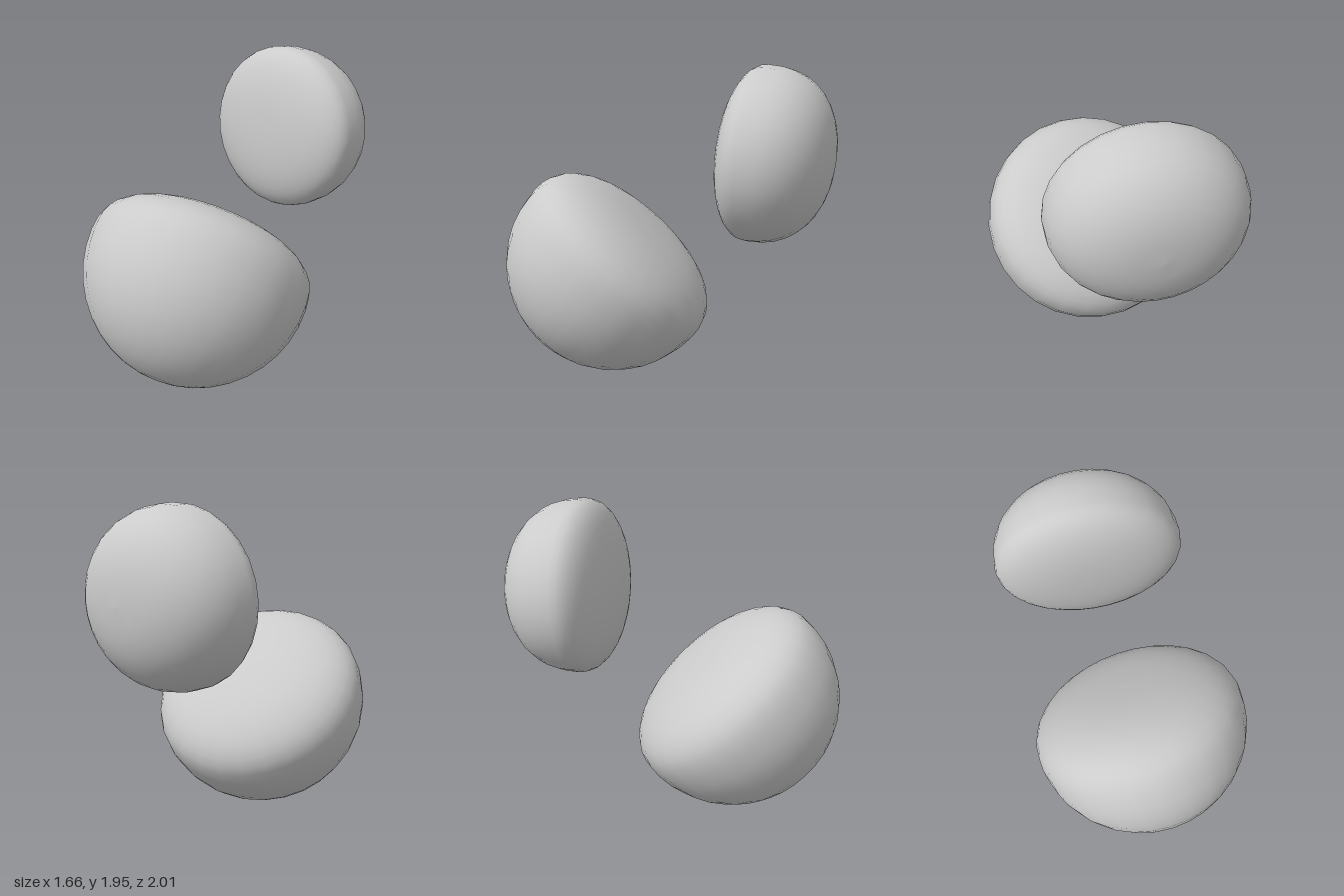
import * as THREE from 'three';

const material = new THREE.MeshStandardMaterial({ color: 0xcccccc });

// Quarter superellipse in the (radius, height) plane, from the equator to the pole
function quarter(radius, height, power, steps) {
  return Array.from({ length: steps + 1 }, (_, i) => {
    const a = (i / steps) * Math.PI / 2;
    const c = Math.max(0, Math.cos(a)), s = Math.sin(a);
    return new THREE.Vector2(
      i === steps ? 0 : radius * c ** (2 / power),
      height * s ** (2 / power),
    );
  });
}

// Rounded stone made of two half domes; `axis` points out of the upper dome,
// and `squash` narrows its section in the direction nearest to vertical
function stone(name, { lower, upper, axis, position, squash }) {
  const profile = [...quarter(...lower, 10).reverse(), ...quarter(...upper, 10).slice(1)];
  const geometry = new THREE.LatheGeometry(profile, 28);
  geometry.scale(1, 1, squash);
  const y = new THREE.Vector3(...axis).normalize();
  const x = new THREE.Vector3(0, 1, 0).cross(y).normalize();
  const z = x.clone().cross(y);
  const mesh = new THREE.Mesh(geometry, material);
  mesh.name = name;
  mesh.quaternion.setFromRotationMatrix(new THREE.Matrix4().makeBasis(x, y, z));
  mesh.position.set(...position);
  return mesh;
}

export function createModel() {
  const group = new THREE.Group();
  group.name = 'splitBoulder';

  // Large ball with a flattened, gently bulging upper face
  group.add(stone('flattenedBall', {
    lower: [0.69, -0.69, 2],
    upper: [0.69, 0.35, 2.55],
    axis: [0.25, 0.75, -0.61],
    position: [-0.14, 0.69, 0.31],
    squash: 1,
  }));

  // Detached cap: shallow bulge on the inside, deep dome on the outside
  group.add(stone('detachedCap', {
    lower: [0.565, -0.21, 2.3],
    upper: [0.565, 0.44, 2.3],
    axis: [0.62, -0.06, -0.78],
    position: [0.29, 1.42, -0.495],
    squash: 0.935,
  }));

  return group;
}
